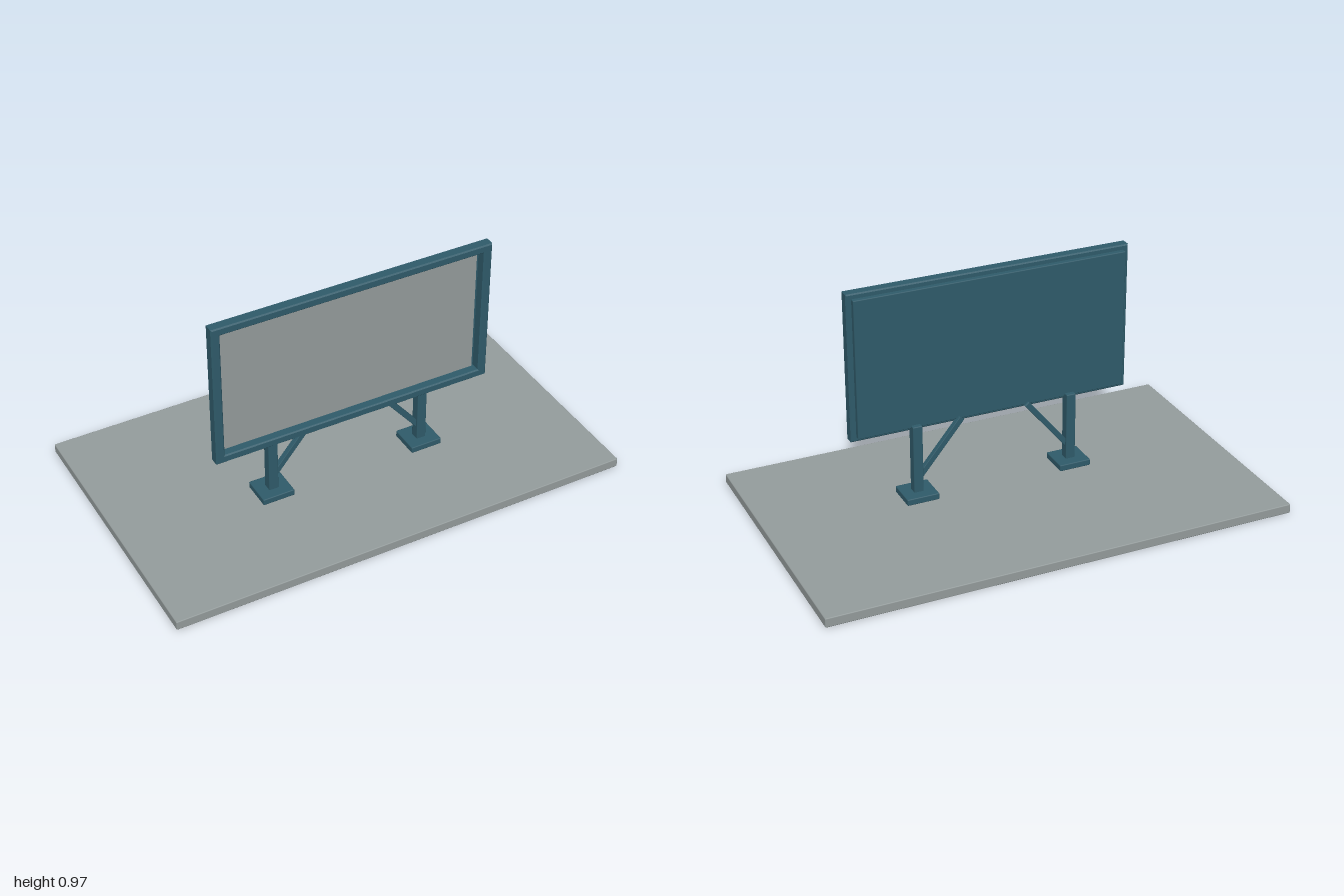
import * as THREE from 'three';
import { RoundedBoxGeometry } from 'three/addons/geometries/RoundedBoxGeometry.js';

export function createModel() {
  const group = new THREE.Group();
  const grey = new THREE.MeshStandardMaterial({ color: 0x949c9c });
  grey.name = 'concrete grey';
  const teal = new THREE.MeshStandardMaterial({ color: 0x2f5b6a });
  teal.name = 'painted teal';

  const add = (name, geometry, material, x = 0, y = 0, z = 0) => {
    const mesh = new THREE.Mesh(geometry, material);
    mesh.name = name;
    mesh.position.set(x, y, z);
    group.add(mesh);
    return mesh;
  };
  const block = (w, h, d, r = 0.004) => new RoundedBoxGeometry(w, h, d, 1, r);

  // Ground slab
  add('groundSlab', block(2, 0.04, 1.2), grey, 0, 0.02, 0);

  // Frame with a rectangular opening and softened edges
  const bevel = 0.005;
  const rectangle = (target, x, y0, y1) => target
    .moveTo(-x, y0).lineTo(x, y0).lineTo(x, y1).lineTo(-x, y1).closePath();
  const outline = rectangle(new THREE.Shape(), 0.612 - bevel, 0.332 + bevel, 0.972 - bevel);
  outline.holes.push(rectangle(new THREE.Path(), 0.575 + bevel, 0.367 - bevel, 0.937 + bevel));
  add('frame', new THREE.ExtrudeGeometry(outline, {
    depth: 0.047 - 2 * bevel, bevelThickness: bevel, bevelSize: bevel, bevelSegments: 1,
  }), teal, 0, 0, 0.123 + bevel);

  // Backing board and display panel recessed in the frame
  add('backingBoard', block(1.18, 0.6, 0.025), teal, 0, 0.652, 0.1125);
  add('displayPanel', new THREE.BoxGeometry(1.128, 0.566, 0.012), grey, 0, 0.652, 0.129);

  // Mirrored supports
  for (const side of [-1, 1]) {
    const name = side > 0 ? 'left' : 'right';
    add(name + 'Foot', block(0.14, 0.028, 0.132), teal, side * 0.343, 0.054, 0.099);
    add(name + 'Post', block(0.042, 0.305, 0.042), teal, side * 0.343, 0.2125, 0.1);

    // Diagonal brace from the post up to the board
    const low = new THREE.Vector2(0.34, 0.122);
    const high = new THREE.Vector2(0.145, 0.358);
    const brace = add(name + 'Brace', block(0.024, low.distanceTo(high), 0.024, 0.002), teal,
      side * (low.x + high.x) / 2, (low.y + high.y) / 2, 0.1);
    brace.rotation.z = side * Math.atan2(low.x - high.x, high.y - low.y);
  }
  return group;
}
